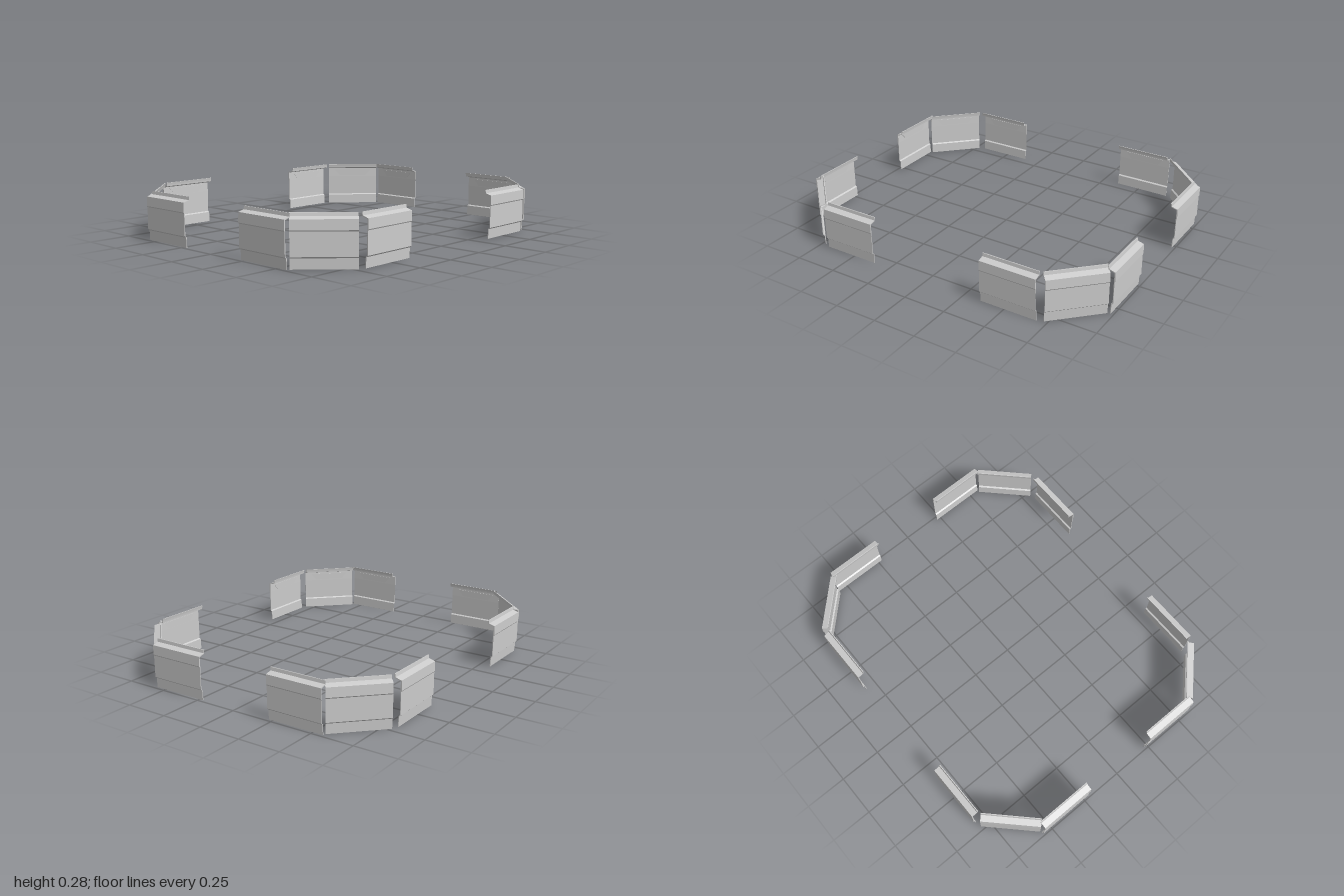
import * as THREE from 'three';

const WIDTH = 0.336;
const material = new THREE.MeshStandardMaterial({ color: 0xcccccc, flatShading: true, side: THREE.DoubleSide });

// Extrudes an [outward, up] outline along the panel width, centred on x.
function extrudeAcross(points, width) {
  const shape = new THREE.Shape(points.map(([d, y]) => new THREE.Vector2(d, y)));
  const geo = new THREE.ExtrudeGeometry(shape, { depth: width, bevelEnabled: false });
  geo.translate(0, 0, -width / 2);
  geo.rotateY(-Math.PI / 2);
  return geo;
}

function addMesh(group, name, geo) {
  const mesh = new THREE.Mesh(geo, material);
  mesh.name = name;
  group.add(mesh);
}

// Bent sheet wall: inset skirt, main face, upper band, inward shelf and upright lip
function makePanel() {
  const panel = new THREE.Group();
  addMesh(panel, 'skirt', extrudeAcross(
    [[0.005, 0], [0.007, 0.056], [0.016, 0.064], [0.012, 0.064], [0.003, 0.058], [0.001, 0]], WIDTH));
  addMesh(panel, 'wallSheet', extrudeAcross(
    [[0.016, 0.064], [0.016, 0.19], [0.02, 0.196], [0.018, 0.25], [0.013, 0.248], [0.012, 0.19], [0.012, 0.064]], WIDTH));
  addMesh(panel, 'topShelf', extrudeAcross(
    [[0.018, 0.25], [-0.017, 0.26], [-0.022, 0.256], [0.013, 0.246]], WIDTH));
  addMesh(panel, 'topLip', extrudeAcross(
    [[-0.017, 0.26], [-0.018, 0.266], [-0.02, 0.278], [-0.025, 0.278], [-0.023, 0.266], [-0.022, 0.256]], WIDTH));

  // Shallow trapezoid stiffener on the inner face
  const plate = new THREE.Shape();
  plate.moveTo(-0.09, 0.195).lineTo(0.09, 0.195).lineTo(0.125, 0.235).lineTo(-0.125, 0.235).closePath();
  const plateGeo = new THREE.ExtrudeGeometry(plate, { depth: 0.003, bevelEnabled: false });
  plateGeo.translate(0, 0, 0.0105);
  addMesh(panel, 'innerStiffener', plateGeo);
  return panel;
}

export function createModel() {
  const model = new THREE.Group();
  model.name = 'panelRing';

  // One corner of the ring: position and outward direction of each panel
  const corner = [
    { name: 'endPanel', x: 0.523, z: 0.811, nx: 0, nz: 1 },
    { name: 'diagonalPanel', x: 0.844, z: 0.68, nx: 1, nz: 1 },
    { name: 'sidePanel', x: 0.978, z: 0.393, nx: 1, nz: 0 },
  ];

  for (const sx of [1, -1]) {
    for (const sz of [1, -1]) {
      for (const c of corner) {
        const panel = makePanel();
        panel.name = (sz > 0 ? 'front' : 'back') + (sx > 0 ? 'Left' : 'Right') + c.name[0].toUpperCase() + c.name.slice(1);
        panel.position.set(c.x * sx, 0, c.z * sz);
        panel.rotation.y = Math.atan2(c.nx * sx, c.nz * sz);
        model.add(panel);
      }
    }
  }
  return model;
}
